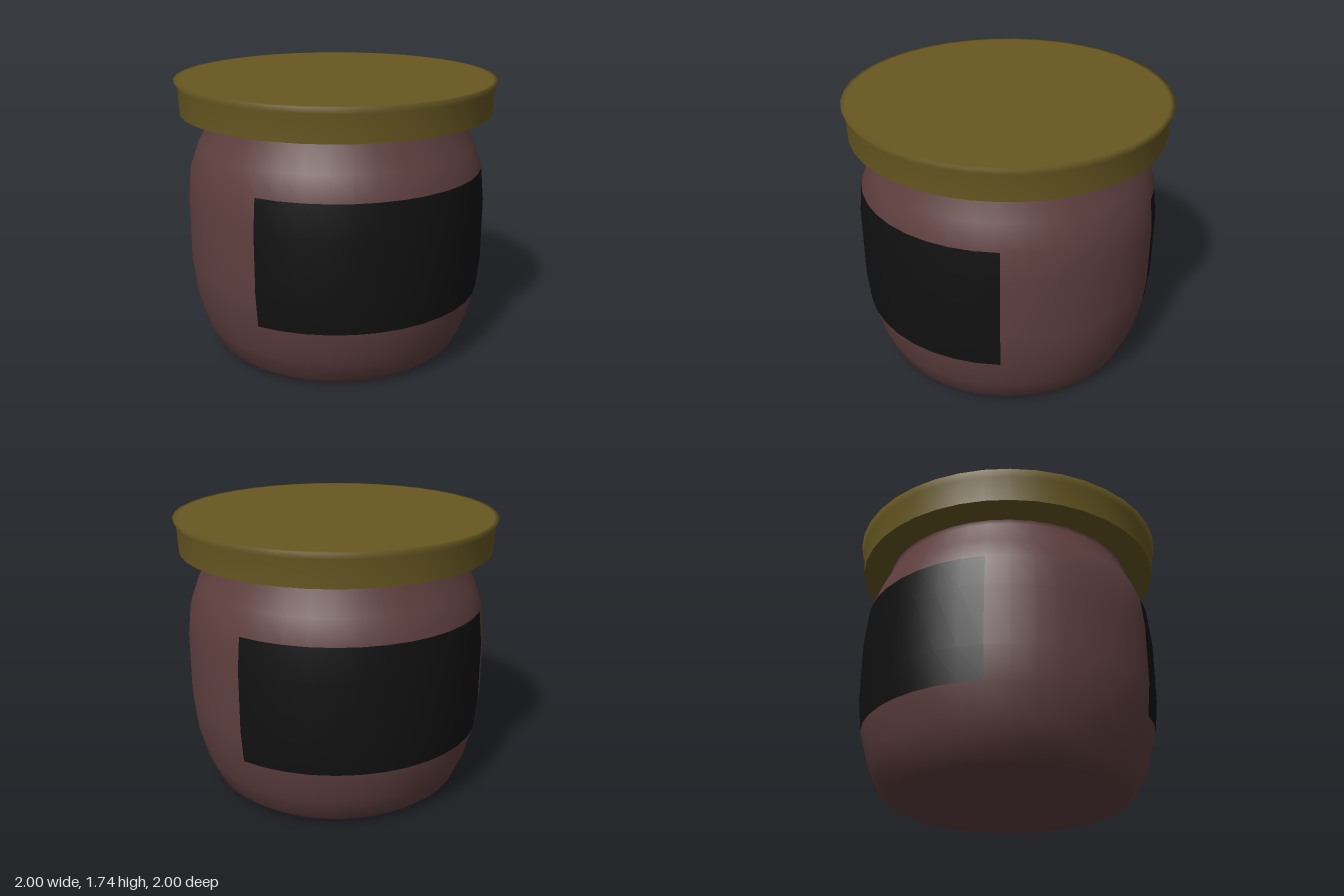
import * as THREE from 'three';

const SIDES = 40;

// Lathe a list of [radius, height] points; start and steps count facets around y from +z.
function turned(name, profile, color, start = 0, steps = SIDES) {
  const step = (Math.PI * 2) / SIDES;
  const points = profile.map(([r, y]) => new THREE.Vector2(r, y));
  const mesh = new THREE.Mesh(
    new THREE.LatheGeometry(points, steps, start * step, steps * step),
    new THREE.MeshStandardMaterial({ color })
  );
  mesh.name = name;
  return mesh;
}

export function createModel() {
  const group = new THREE.Group();
  group.name = 'jar';

  // Belly section, shared by the jar wall and its labels
  const belly = [[0.92, 0.405], [0.94, 0.61], [0.94, 0.99], [0.92, 1.19]];

  // Jar with a chamfered foot and a narrow neck
  group.add(turned('jarBody', [
    [0, 0], [0.7, 0], [0.73, 0], [0.8, 0.055], [0.867, 0.205],
    ...belly,
    [0.868, 1.335], [0.787, 1.5], [0.8, 1.53],
  ], 0x5f3f3f));

  // Wrapped labels on the front and back
  const labelProfile = belly.map(([r, y]) => [r + 0.002, y]);
  group.add(turned('frontLabel', labelProfile, 0x111111, -6, 12));
  group.add(turned('backLabel', labelProfile, 0x111111, 14, 12));

  // Lid: shallow conical underside, crisp lower edge (doubled point), flared top rim
  group.add(turned('lid', [
    [0, 1.52], [0.79, 1.52], [0.87, 1.533], [0.972, 1.537], [0.972, 1.537],
    [0.98, 1.7], [1, 1.74], [0.97, 1.74], [0, 1.74],
  ], 0x685822));

  return group;
}
